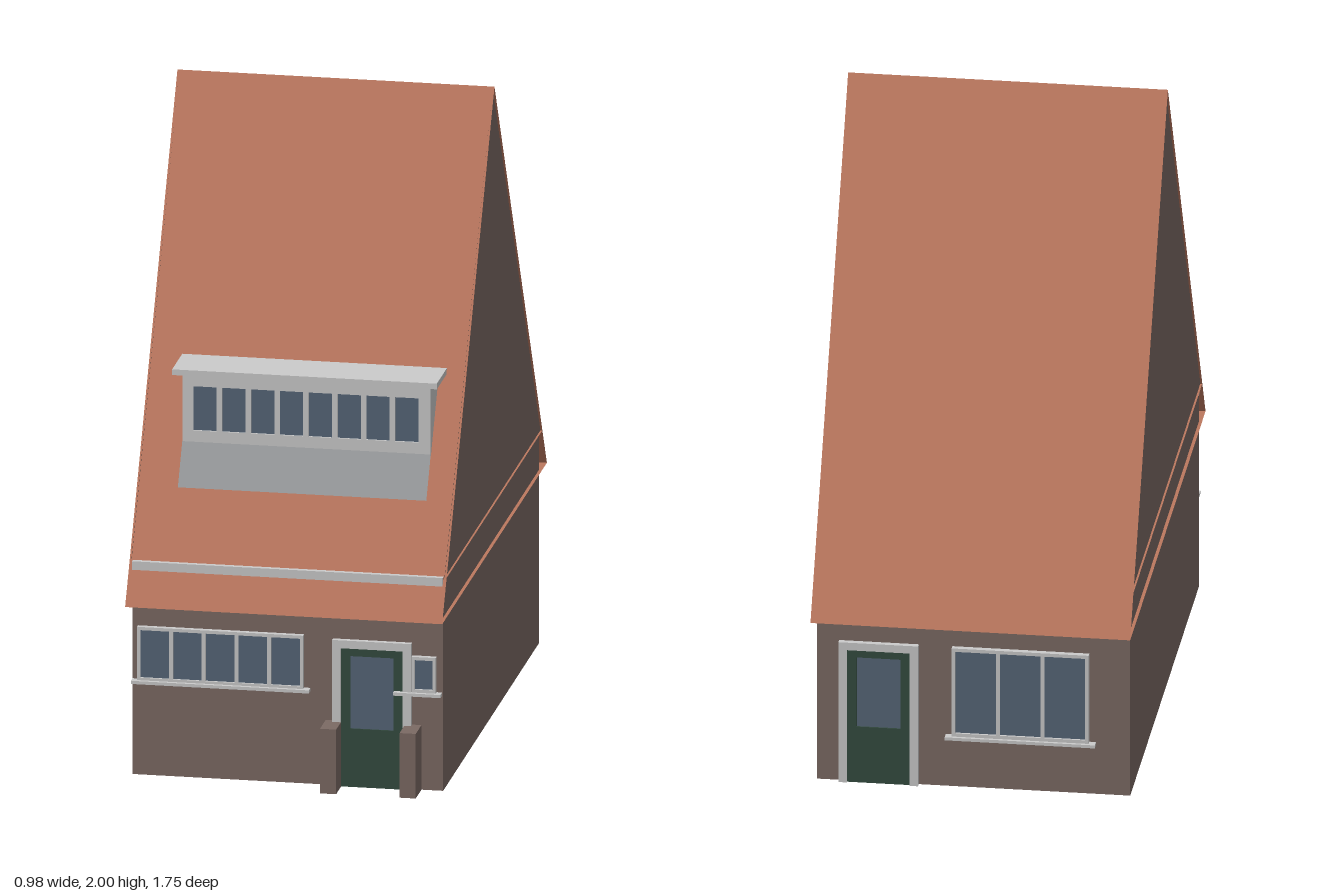
import * as THREE from 'three';

const mat = (color) => new THREE.MeshStandardMaterial({ color, side: THREE.DoubleSide, flatShading: true });
const brick = mat(0x7c6a64), tile = mat(0xbc785f), trim = mat(0xcccccc);
const lead = mat(0x9a9c9e), glass = mat(0x566678), green = mat(0x344c40);

// Main dimensions
const W = 0.48, FRONT = 0.78, BACK = -0.8, EAVE = 0.55, KNEE = 0.675;
const RIDGE = { z: -0.012, y: 2 };
const ROOF_FRONT = 0.85, ROOF_BACK = -0.875, ROOF_W = 0.49;
const frontRoofZ = (y) => RIDGE.z + (RIDGE.y - y) * (ROOF_FRONT - RIDGE.z) / (RIDGE.y - EAVE);

function add(parent, name, geometry, material) {
  const mesh = new THREE.Mesh(geometry, material);
  mesh.name = name;
  parent.add(mesh);
  return mesh;
}

// Box given by its limits on each axis
function box(parent, name, material, [x0, x1], [y0, y1], [z0, z1]) {
  const mesh = add(parent, name, new THREE.BoxGeometry(x1 - x0, y1 - y0, z1 - z0), material);
  mesh.position.set((x0 + x1) / 2, (y0 + y1) / 2, (z0 + z1) / 2);
  return mesh;
}

// Flat four-cornered sheet, corners counter-clockwise seen from outside
function sheet(parent, name, material, a, b, c, d) {
  const g = new THREE.BufferGeometry();
  g.setAttribute('position', new THREE.Float32BufferAttribute([...a, ...b, ...c, ...d], 3));
  g.setIndex([0, 1, 2, 0, 2, 3]);
  g.computeVertexNormals();
  return add(parent, name, g, material);
}

// Rectangular path, used for outlines and holes
function rect(x0, x1, y0, y1, Type = THREE.Path) {
  return new Type([[x0, y0], [x1, y0], [x1, y1], [x0, y1]].map(([x, y]) => new THREE.Vector2(x, y)));
}

// Frame with a row of recessed panes; back of the frame on z = 0
function windowUnit(name, [x0, x1], [y0, y1], { panes, border, bar, depth = 0.017, sides = [x0, x1], ends = [y0, y1] }) {
  const group = new THREE.Group();
  group.name = name;
  const outline = rect(...sides, ...ends, THREE.Shape);
  const w = (x1 - x0 - 2 * border - (panes - 1) * bar) / panes;
  for (let i = 0; i < panes; i++) {
    const x = x0 + border + i * (w + bar);
    outline.holes.push(rect(x, x + w, y0 + border, y1 - border));
  }
  add(group, 'windowFrame', new THREE.ExtrudeGeometry(outline, { depth, bevelEnabled: false }), trim);
  box(group, 'windowGlass', glass, [x0 + border / 2, x1 - border / 2], [y0 + border / 2, y1 - border / 2], [0, depth * 0.6]);
  return group;
}

// Framed door with a glazed upper panel, centred on x = 0
function door(name) {
  const group = new THREE.Group();
  group.name = name;
  const frame = new THREE.Shape([[-0.122, 0], [-0.096, 0], [-0.096, 0.44], [0.096, 0.44], [0.096, 0],
    [0.122, 0], [0.122, 0.465], [-0.122, 0.465]].map(([x, y]) => new THREE.Vector2(x, y)));
  add(group, 'doorFrame', new THREE.ExtrudeGeometry(frame, { depth: 0.017, bevelEnabled: false }), trim);
  const leaf = rect(-0.096, 0.096, 0, 0.44, THREE.Shape);
  leaf.holes.push(rect(-0.067, 0.067, 0.185, 0.415));
  add(group, 'doorLeaf', new THREE.ExtrudeGeometry(leaf, { depth: 0.011, bevelEnabled: false }), green);
  box(group, 'doorGlass', glass, [-0.075, 0.075], [0.177, 0.423], [0, 0.007]);
  return group;
}

export function createModel() {
  const house = new THREE.Group();
  house.name = 'house';

  // Walls: thin shell, open underneath
  sheet(house, 'frontWall', brick, [-W, 0, FRONT], [W, 0, FRONT], [W, KNEE, FRONT], [-W, KNEE, FRONT]);
  sheet(house, 'backWall', brick, [W, 0, BACK], [-W, 0, BACK], [-W, KNEE, BACK], [W, KNEE, BACK]);
  for (const s of [-1, 1]) {
    const side = s > 0 ? 'left' : 'right';
    const [za, zb] = s > 0 ? [FRONT, BACK] : [BACK, FRONT];
    sheet(house, side + 'Wall', brick, [s * W, 0, za], [s * W, 0, zb], [s * W, KNEE, zb], [s * W, KNEE, za]);
    const x = s * (W + 0.004);
    const gable = new THREE.BufferGeometry();
    gable.setAttribute('position', new THREE.Float32BufferAttribute(
      [x, KNEE, za, x, KNEE, zb, x, RIDGE.y, RIDGE.z], 3));
    gable.computeVertexNormals();
    add(house, side + 'Gable', gable, brick);
  }

  // Roof slopes, the soffit under the eaves and the attic floor
  const R = ROOF_W;
  sheet(house, 'frontRoof', tile, [-R, EAVE, ROOF_FRONT], [R, EAVE, ROOF_FRONT], [R, RIDGE.y, RIDGE.z], [-R, RIDGE.y, RIDGE.z]);
  sheet(house, 'backRoof', tile, [R, EAVE, ROOF_BACK], [-R, EAVE, ROOF_BACK], [-R, RIDGE.y, RIDGE.z], [R, RIDGE.y, RIDGE.z]);
  for (const [name, y, z0, z1] of [['soffit', EAVE, ROOF_BACK, ROOF_FRONT], ['atticFloor', KNEE, BACK, FRONT - 0.01]])
    sheet(house, name, tile, [-R, y, z0], [R, y, z0], [R, y, z1], [-R, y, z1]);

  // Gutter strip along the front eave
  box(house, 'gutter', trim, [-W, W], [0.635, 0.678], [0.765, 0.79]);

  // Dormer with its window band, flat roof and apron
  const dormer = new THREE.Group();
  dormer.name = 'dormer';
  house.add(dormer);
  const [d0, d1] = [-0.363, 0.405], DF = 0.585;
  box(dormer, 'dormerBody', trim, [d0, d1], [1.0, 1.22], [0.44, DF - 0.015]);
  const band = windowUnit('dormerWindow', [-0.34, 0.378], [1.03, 1.192],
    { panes: 8, border: 0.011, bar: 0.017, depth: 0.015, sides: [d0, d1], ends: [1.0, 1.22] });
  band.position.z = DF - 0.015;
  dormer.add(band);
  box(dormer, 'dormerRoof', trim, [-0.39, 0.428], [1.22, 1.238], [0.435, 0.608]);
  const zLow = frontRoofZ(0.88) + 0.004;
  sheet(dormer, 'dormerApron', lead, [d0, 0.88, zLow], [d1, 0.88, zLow], [d1, 1.005, DF], [d0, 1.005, DF]);

  // Front openings
  const wide = windowUnit('frontWindow', [-0.463, 0.05], [0.302, 0.473], { panes: 5, border: 0.01, bar: 0.012 });
  const small = windowUnit('smallWindow', [0.385, 0.46], [0.312, 0.425], { panes: 1, border: 0.01, bar: 0 });
  const frontDoor = door('frontDoor');
  frontDoor.position.x = 0.262;
  for (const part of [wide, small, frontDoor]) {
    part.position.z = FRONT;
    house.add(part);
  }
  box(house, 'frontSill', trim, [-0.48, 0.07], [0.294, 0.304], [FRONT, 0.808]);
  box(house, 'smallSill', trim, [0.33, 0.477], [0.302, 0.312], [FRONT, 0.808]);

  // Low brick piers beside the front door
  for (const x of [0.117, 0.363])
    box(house, 'doorPier', brick, [x, x + 0.05], [0, 0.205], [FRONT, 0.875]);

  // Back openings, built facing +z and turned round
  const rear = new THREE.Group();
  rear.name = 'backOpenings';
  rear.rotation.y = Math.PI;
  rear.position.z = BACK;
  const backDoor = door('backDoor');
  backDoor.position.x = -0.29;
  rear.add(backDoor, windowUnit('backWindow', [-0.065, 0.355], [0.172, 0.465], { panes: 3, border: 0.011, bar: 0.012 }));
  box(rear, 'backSill', trim, [-0.085, 0.375], [0.162, 0.172], [0, 0.026]);
  house.add(rear);

  return house;
}
